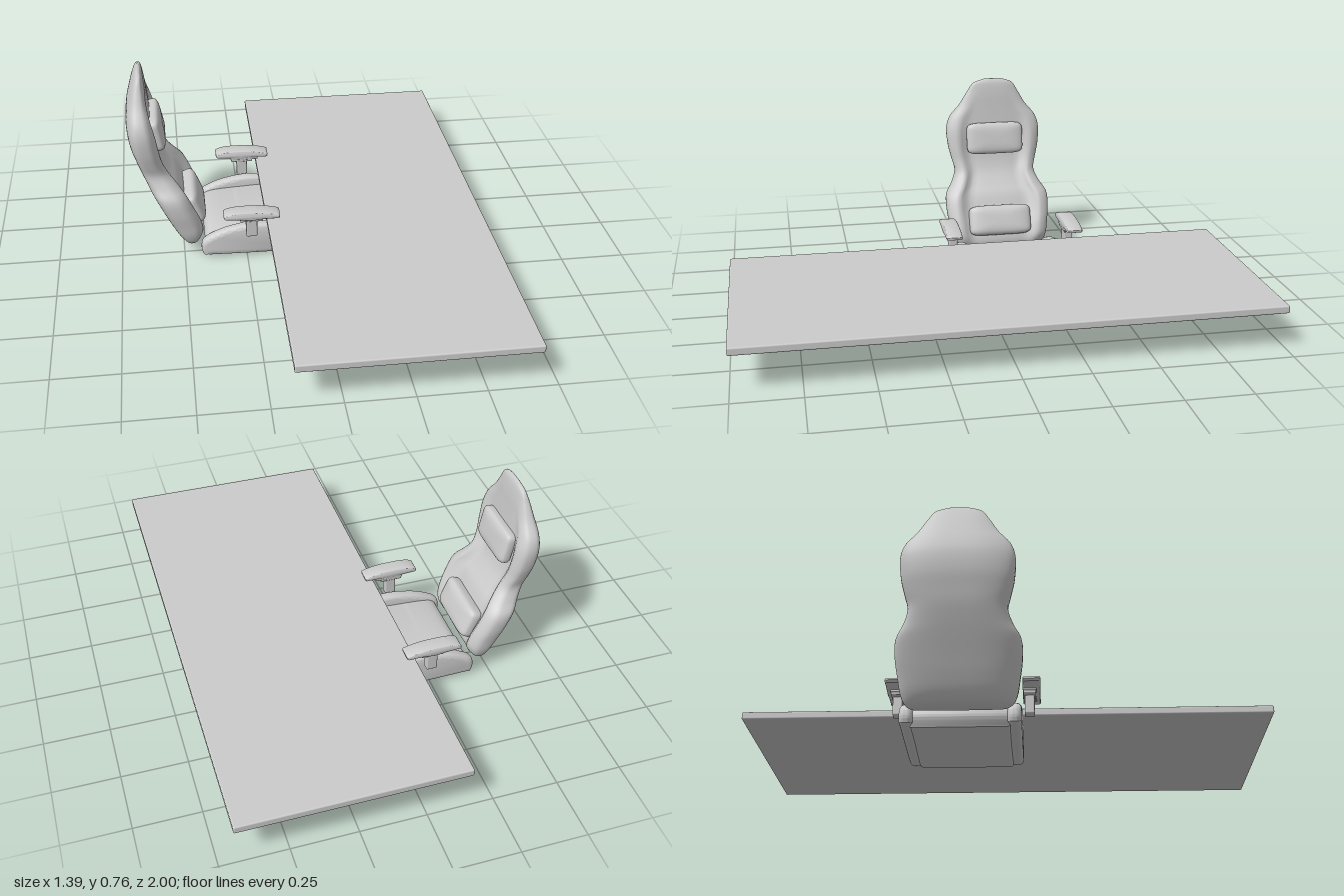
import * as THREE from 'three';
import { mergeVertices, toCreasedNormals } from 'three/addons/utils/BufferGeometryUtils.js';
import { RoundedBoxGeometry } from 'three/addons/geometries/RoundedBoxGeometry.js';

const grey = new THREE.MeshStandardMaterial({ color: 0xcccccc });
const spow = (v, e) => Math.sign(v) * Math.pow(Math.abs(v), e);

function part(name, geometry, x = 0, y = 0, z = 0) {
  const mesh = new THREE.Mesh(geometry, grey);
  mesh.name = name;
  mesh.position.set(x, y, z);
  return mesh;
}

// Stations down the backrest: rear x, y, front x, y, half width, depth of the hollow
const BACK = [
  [-0.645, 0.762, -0.633, 0.76, 0.04, 0],
  [-0.655, 0.745, -0.626, 0.745, 0.085, 0],
  [-0.668, 0.71, -0.618, 0.70, 0.112, 0],
  [-0.684, 0.65, -0.608, 0.645, 0.147, 0.005],
  [-0.695, 0.60, -0.593, 0.59, 0.19, 0.015],
  [-0.70, 0.55, -0.578, 0.54, 0.205, 0.025],
  [-0.693, 0.48, -0.563, 0.46, 0.2, 0.035],
  [-0.677, 0.42, -0.553, 0.41, 0.187, 0.035],
  [-0.662, 0.37, -0.53, 0.36, 0.176, 0.04],
  [-0.64, 0.315, -0.495, 0.315, 0.195, 0.045],
  [-0.62, 0.27, -0.465, 0.275, 0.222, 0.045],
  [-0.59, 0.205, -0.437, 0.215, 0.225, 0.045],
  [-0.56, 0.14, -0.413, 0.155, 0.216, 0.04],
  [-0.53, 0.085, -0.407, 0.11, 0.207, 0.03],
  [-0.505, 0.058, -0.425, 0.07, 0.192, 0.01],
  [-0.48, 0.046, -0.45, 0.048, 0.17, 0],
];

function backrestGeometry() {
  const rows = 60, cols = 56, pos = [], idx = [];
  const rear = new THREE.CatmullRomCurve3(BACK.map(s => new THREE.Vector3(s[0], s[1], s[4])));
  const front = new THREE.CatmullRomCurve3(BACK.map(s => new THREE.Vector3(s[2], s[3], s[5])));
  const ends = [];
  for (let i = 0; i <= rows; i++) {
    const r = rear.getPoint(i / rows), f = front.getPoint(i / rows);
    const dx = (f.x - r.x) / 2, dy = (f.y - r.y) / 2, half = Math.hypot(dx, dy);
    const cx = (r.x + f.x) / 2, cy = (r.y + f.y) / 2;
    if (i === 0 || i === rows) ends.push([cx, cy, 0]);
    for (let j = 0; j < cols; j++) {
      const a = (j / cols) * Math.PI * 2;
      const u = spow(Math.cos(a), 0.75);
      let d = spow(Math.sin(a), 0.65);
      // hollow between the side wings
      if (d > 0) d -= (f.z / half) * (1 - THREE.MathUtils.smoothstep(Math.abs(u), 0.55, 0.8));
      pos.push(cx + dx * d, cy + dy * d, u * r.z);
    }
  }
  for (let i = 0; i < rows; i++) for (let j = 0; j < cols; j++) {
    const k = (j + 1) % cols;
    const a = i * cols + j, b = i * cols + k, c = a + cols, d = b + cols;
    idx.push(a, c, b, c, d, b);
  }
  const top = pos.length / 3, last = rows * cols;
  pos.push(...ends[0], ...ends[1]);
  for (let j = 0; j < cols; j++) {
    const k = (j + 1) % cols;
    idx.push(top, j, k, top + 1, last + k, last + j);
  }
  const g = new THREE.BufferGeometry();
  g.setAttribute('position', new THREE.Float32BufferAttribute(pos, 3));
  g.setIndex(idx);
  g.computeVertexNormals();
  return g;
}

// Puffed rectangular pillow facing +x, leaning back by tilt
function pillowGeometry(height, width, thick, tilt) {
  const g = new THREE.SphereGeometry(1, 48, 20);
  const p = g.attributes.position;
  for (let i = 0; i < p.count; i++) {
    const x = p.getX(i), y = p.getY(i), z = p.getZ(i), r = Math.hypot(x, z) || 1;
    const ring = Math.pow(Math.min(1, Math.hypot(x, z)), 0.6);
    p.setXYZ(i, spow(x / r, 0.3) * ring * height / 2, spow(y, 0.6) * thick / 2,
      spow(z / r, 0.3) * ring * width / 2);
  }
  g.deleteAttribute('uv');
  g.deleteAttribute('normal');
  const m = mergeVertices(g, 1e-5);
  m.rotateZ(-Math.PI / 2 + tilt);
  m.computeVertexNormals();
  return m;
}

// Side profile in x and y, extruded across z with rounded edges
function slab(points, width, bevel) {
  const shape = new THREE.Shape();
  shape.moveTo(...points[0]);
  shape.splineThru(points.slice(1).map(q => new THREE.Vector2(...q)));
  shape.closePath();
  const g = new THREE.ExtrudeGeometry(shape, {
    depth: width - 2 * bevel, bevelThickness: bevel, bevelSize: bevel,
    bevelOffset: -bevel, bevelSegments: 5, curveSegments: 40,
  });
  g.translate(0, 0, bevel - width / 2);
  return toCreasedNormals(g, 0.7);
}

export function createModel() {
  const model = new THREE.Group();
  model.name = 'deskAndChair';

  // Desk
  model.add(part('deskTop', new RoundedBoxGeometry(0.86, 0.03, 2, 3, 0.006), 0.26, 0.16, 0));

  // Chair, facing +x
  const chair = new THREE.Group();
  chair.name = 'chair';
  chair.position.z = -0.155;
  model.add(chair);

  chair.add(part('backrest', backrestGeometry()));
  chair.add(part('headPillow', pillowGeometry(0.136, 0.246, 0.06, 0.2), -0.585, 0.508, 0));
  chair.add(part('lumbarPillow', pillowGeometry(0.13, 0.27, 0.075, 0.38), -0.453, 0.172, 0));

  chair.add(part('seatCushion', slab([
    [-0.4, 0.006], [-0.415, 0.05], [-0.38, 0.09], [-0.22, 0.103], [-0.08, 0.108],
    [-0.01, 0.107], [0.022, 0.09], [0.029, 0.05], [0.015, 0.014], [-0.02, 0.002],
    [-0.12, 0.002], [-0.3, 0.006], [-0.39, 0.006],
  ], 0.36, 0.016), 0, 0, 0));

  const bolster = slab([
    [-0.425, 0.015], [-0.432, 0.04], [-0.425, 0.075], [-0.39, 0.1], [-0.32, 0.127],
    [-0.22, 0.143], [-0.12, 0.134], [-0.05, 0.108], [-0.01, 0.07], [0.01, 0.03],
    [0, 0.012], [-0.05, 0.006], [-0.2, 0.006], [-0.4, 0.01],
  ], 0.05, 0.02);
  const pad = slab([
    [-0.343, 0.22], [-0.335, 0.231], [-0.29, 0.24], [-0.2, 0.239], [-0.13, 0.226],
    [-0.123, 0.215], [-0.13, 0.208], [-0.18, 0.208], [-0.235, 0.203], [-0.28, 0.208], [-0.335, 0.212],
  ], 0.066, 0.008);

  for (const [side, s] of [['left', -1], ['right', 1]]) {
    chair.add(part(side + 'SeatBolster', bolster, 0, 0, s * 0.193));
    const arm = new THREE.Group();
    arm.name = side + 'Armrest';
    arm.position.z = s * 0.245;
    arm.add(part('armPost', new RoundedBoxGeometry(0.044, 0.085, 0.036, 2, 0.006), -0.233, 0.161, 0));
    arm.add(part('armBracket', new RoundedBoxGeometry(0.09, 0.016, 0.046, 2, 0.004), -0.233, 0.198, 0));
    arm.add(part('armPlate', new RoundedBoxGeometry(0.116, 0.012, 0.05, 2, 0.004), -0.223, 0.206, 0));
    arm.add(part('armPad', pad, 0, 0, s * 0.007));
    chair.add(arm);
  }
  return model;
}
